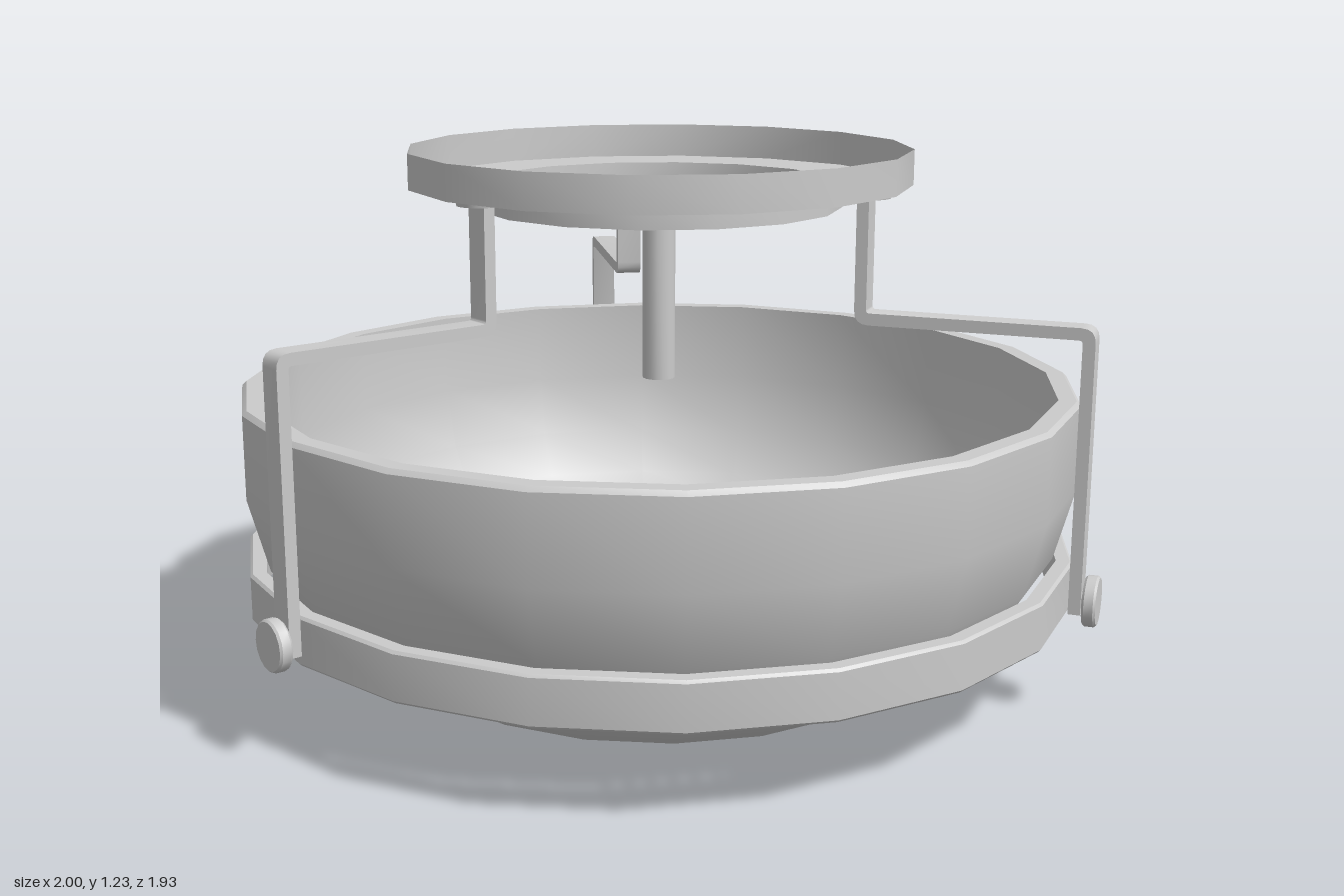
import * as THREE from 'three';
import { toCreasedNormals } from 'three/addons/utils/BufferGeometryUtils.js';

const grey = new THREE.MeshStandardMaterial({ color: 0xcccccc });
const sheet = new THREE.MeshStandardMaterial({ color: 0xcccccc, side: THREE.DoubleSide });

function part(name, geometry, material = grey) {
  const mesh = new THREE.Mesh(geometry, material);
  mesh.name = name;
  return mesh;
}

// Turned part from [radius, height] pairs
function turned(name, profile, sides, material) {
  const points = profile.map(([r, y]) => new THREE.Vector2(r, y));
  return part(name, toCreasedNormals(new THREE.LatheGeometry(points, sides), 0.65), material);
}

// Flat bar bent twice, drawn in the radius/height plane and extruded across its width
function bentBar() {
  const t = 0.0135, inner = 0.486, outer = 0.986, yMid = 0.866, width = 0.058;
  const top = 1.145, bottom = 0.24, rBig = 0.032, rSmall = 0.008;
  const s = new THREE.Shape();
  s.moveTo(inner - t, top);
  s.lineTo(inner - t, yMid - t + rBig);
  s.quadraticCurveTo(inner - t, yMid - t, inner - t + rBig, yMid - t);
  s.lineTo(outer - t - rSmall, yMid - t);
  s.quadraticCurveTo(outer - t, yMid - t, outer - t, yMid - t - rSmall);
  s.lineTo(outer - t, bottom);
  s.lineTo(outer + t, bottom);
  s.lineTo(outer + t, yMid + t - rBig);
  s.quadraticCurveTo(outer + t, yMid + t, outer + t - rBig, yMid + t);
  s.lineTo(inner + t + rSmall, yMid + t);
  s.quadraticCurveTo(inner + t, yMid + t, inner + t, yMid + t + rSmall);
  s.lineTo(inner + t, top);
  s.closePath();
  const g = new THREE.ExtrudeGeometry(s, { depth: width, bevelEnabled: false, curveSegments: 4 });
  return toCreasedNormals(g.translate(0, 0, -width / 2), 0.6);
}

// Arm pointing along +x, with its mounting pad and thumb screw
function createArm() {
  const arm = new THREE.Group();
  arm.name = 'supportArm';
  arm.add(part('armBar', bentBar()));

  const pad = part('armPad', new THREE.CylinderGeometry(0.055, 0.052, 0.014, 16));
  pad.position.set(0.488, 1.138, 0);
  arm.add(pad);

  const screw = turned('thumbScrew', [
    [0, 0.975], [0.024, 0.975], [0.024, 1.004], [0.053, 1.004], [0.057, 1.009],
    [0.057, 1.029], [0.053, 1.034], [0, 1.034],
  ], 16);
  screw.rotation.z = -Math.PI / 2;
  screw.position.y = 0.267;
  arm.add(screw);
  return arm;
}

export function createModel() {
  const model = new THREE.Group();
  model.name = 'ceilingLamp';

  // Glass bowl with a thick rim
  model.add(turned('bowl', [
    [0, 0], [0.39, 0], [0.61, 0.036], [0.785, 0.147], [0.85, 0.212], [0.92, 0.323],
    [0.965, 0.49], [0.965, 0.68], [0.955, 0.69], [0.915, 0.69], [0.915, 0.49],
    [0.88, 0.34], [0.822, 0.234], [0.763, 0.175], [0.597, 0.07], [0.385, 0.035], [0, 0.035],
  ], 20));

  // Band held around the bowl by the thumb screws
  model.add(turned('bowlBand', [
    [0.928, 0.208], [0.959, 0.208], [0.965, 0.214], [0.965, 0.313], [0.959, 0.319],
    [0.928, 0.319], [0.928, 0.208],
  ], 20));

  // Stepped ceiling plate, open at the top, with a hole for the stem
  model.add(turned('ceilingPlate', [
    [0.043, 1.093], [0.417, 1.093], [0.417, 1.145], [0.575, 1.145], [0.575, 1.225],
  ], 16, sheet));

  // Stem with a small collar around the hole
  model.add(turned('stem', [
    [0, 0.69], [0.038, 0.69], [0.038, 1.075], [0.043, 1.077], [0.043, 1.093],
    [0.036, 1.088], [0.036, 1.06], [0, 1.06],
  ], 16));

  // Three arms evenly spaced around the lamp
  for (const angle of [Math.PI, Math.PI / 3, -Math.PI / 3]) {
    const arm = createArm();
    arm.rotation.y = angle;
    model.add(arm);
  }

  // Centre the overall width, which the single side arm makes uneven
  for (const child of model.children) child.position.x += 0.034;
  return model;
}
